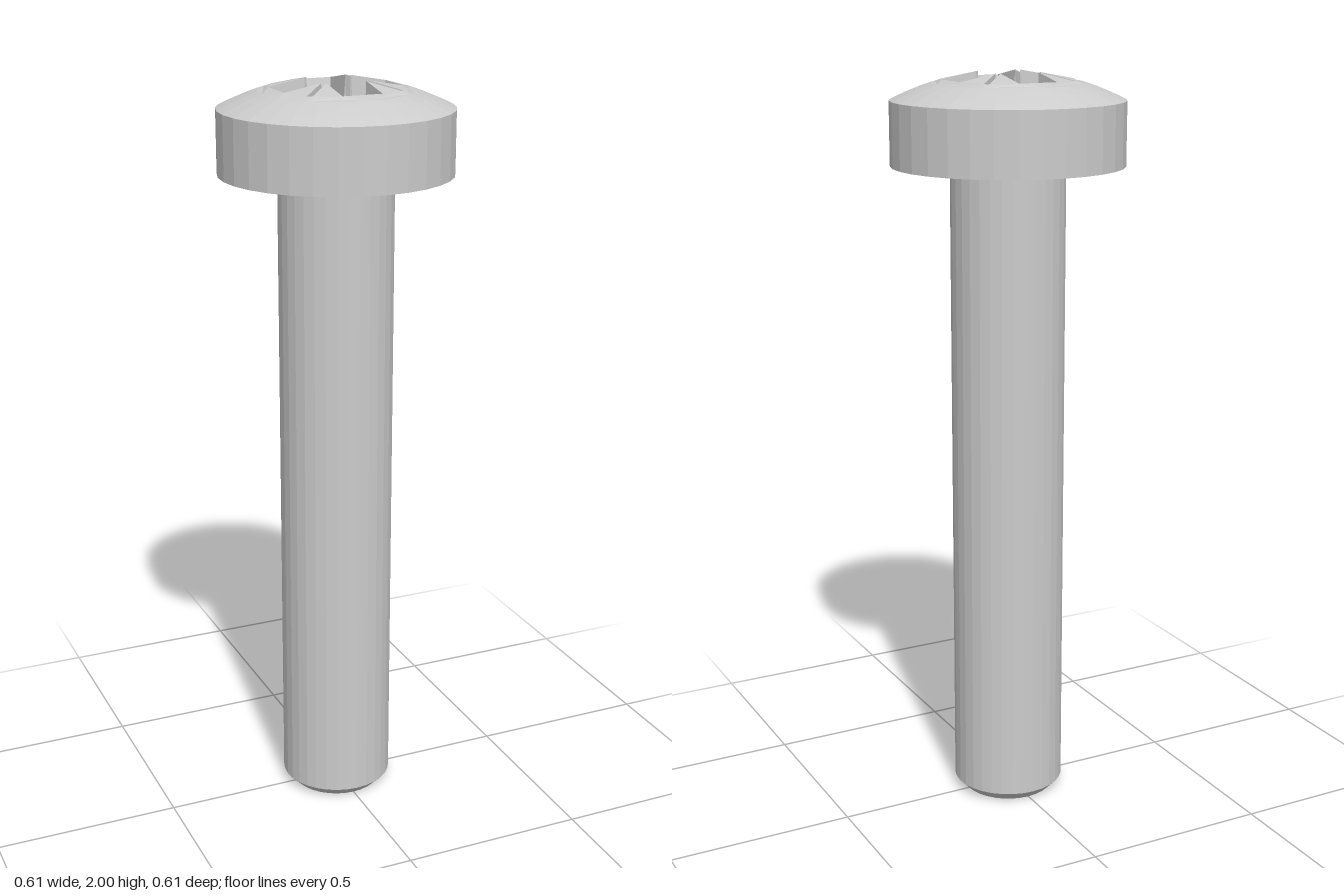
import * as THREE from 'three';

const SIDES = 32, HEAD_R = 0.307, RING_R = 0.2;
const FLOOR = 1.82, CORE_R = 0.08;
const domeY = (r2) => 2.006 - 0.81 * r2;

const material = new THREE.MeshStandardMaterial({ color: 0xcccccc, flatShading: true });

function mesh(name, geometry) {
  const m = new THREE.Mesh(geometry, material);
  m.name = name;
  return m;
}

// Profile points run from bottom to top for outward faces
function lathe(name, points) {
  return mesh(name, new THREE.LatheGeometry(points.map(([x, y]) => new THREE.Vector2(x, y)), SIDES));
}

// Repeat a quarter outline four times, counter-clockwise seen from above
function fourfold(points) {
  const out = [];
  for (let k = 0; k < 4; k++) {
    const origin = new THREE.Vector2();
    for (const [x, y] of points) out.push(new THREE.Vector2(x, y).rotateAround(origin, k * Math.PI / 2));
  }
  return out;
}

// Quarter of the recess: arm side, diagonal slit, side of the next arm
function quarter(arm, inner, slitIn, slitOut) {
  const half = [arm, inner, slitIn, slitOut];
  return half.concat(half.map(([x, y]) => [y, x]).reverse());
}

// Horizontal face pointing up
function flatShape(points, y) {
  return new THREE.ShapeGeometry(new THREE.Shape(points)).rotateX(-Math.PI / 2).translate(0, y, 0);
}

export function createModel() {
  const group = new THREE.Group();
  group.name = 'crossRecessScrew';

  // Shank with chamfered tip and a small fillet under the head
  const shank = [[0, 0], [0.125, 0], [0.152, 0.028], [0.152, 1.742]];
  for (let i = 1; i <= 4; i++) {
    const a = i / 4 * Math.PI / 2;
    shank.push([0.152 + 0.018 * (1 - Math.cos(a)), 1.742 + 0.02 * Math.sin(a)]);
  }
  group.add(lathe('shank', shank));

  // Head: underside, rim and outer dome
  const head = [[0.15, 1.762], [HEAD_R, 1.762]];
  for (let i = 0; i <= 5; i++) {
    const r = HEAD_R + (RING_R - HEAD_R) * i / 5;
    head.push([r, domeY(r * r)]);
  }
  group.add(lathe('head', head));

  // Recess outline at the dome and, tapered, at the floor
  const top = fourfold(quarter([0.163, 0.054], [0.066, 0.054], [0.0641, 0.0542], [0.130, 0.120]));
  const low = quarter([0.115, 0.043], [0.0675, 0.043], [0.0586, 0.0544], [0.115, 0.111]);
  const bottom = fourfold(low);

  // Inner dome, cut out around the recess
  const rim = new THREE.Shape(Array.from({ length: SIDES }, (_, i) => {
    const a = i / SIDES * Math.PI * 2;
    return new THREE.Vector2(RING_R * Math.cos(a), RING_R * Math.sin(a));
  }));
  rim.holes.push(new THREE.Path(top));
  const dome = new THREE.ShapeGeometry(rim).rotateX(-Math.PI / 2);
  const p = dome.attributes.position;
  for (let i = 0; i < p.count; i++) p.setY(i, domeY(p.getX(i) ** 2 + p.getZ(i) ** 2));
  dome.computeVertexNormals();
  group.add(mesh('headTop', dome));

  // Tapered recess walls
  const walls = [];
  const n = top.length;
  for (let i = 0; i < n; i++) {
    const j = (i + 1) % n;
    const t = (k) => [top[k].x, domeY(top[k].lengthSq()), -top[k].y];
    const b = (k) => [bottom[k].x, FLOOR, -bottom[k].y];
    walls.push(...t(i), ...t(j), ...b(j), ...t(i), ...b(j), ...b(i));
  }
  const wallGeometry = new THREE.BufferGeometry();
  wallGeometry.setAttribute('position', new THREE.Float32BufferAttribute(walls, 3));
  wallGeometry.computeVertexNormals();
  group.add(mesh('recessWalls', wallGeometry));

  // Floors of the four arms and the four slits
  const armFloor = [[0.115, -0.043], [0.115, 0.043]];
  for (let i = 3; i >= -3; i--) {
    const a = i / 3 * Math.atan2(0.043, 0.0675);
    armFloor.push([CORE_R * Math.cos(a), CORE_R * Math.sin(a)]);
  }
  const slitFloor = low.slice(2, 6);
  for (let k = 0; k < 4; k++) {
    for (const [name, pts] of [['armFloor', armFloor], ['slitFloor', slitFloor]]) {
      const floor = mesh(name, flatShape(pts.map(([x, y]) => new THREE.Vector2(x, y)), FLOOR));
      floor.rotation.y = k * Math.PI / 2;
      group.add(floor);
    }
  }

  // Conical bottom in the middle of the recess
  group.add(lathe('recessCone', [[CORE_R, FLOOR], [0, FLOOR - 0.035]]));

  return group;
}
